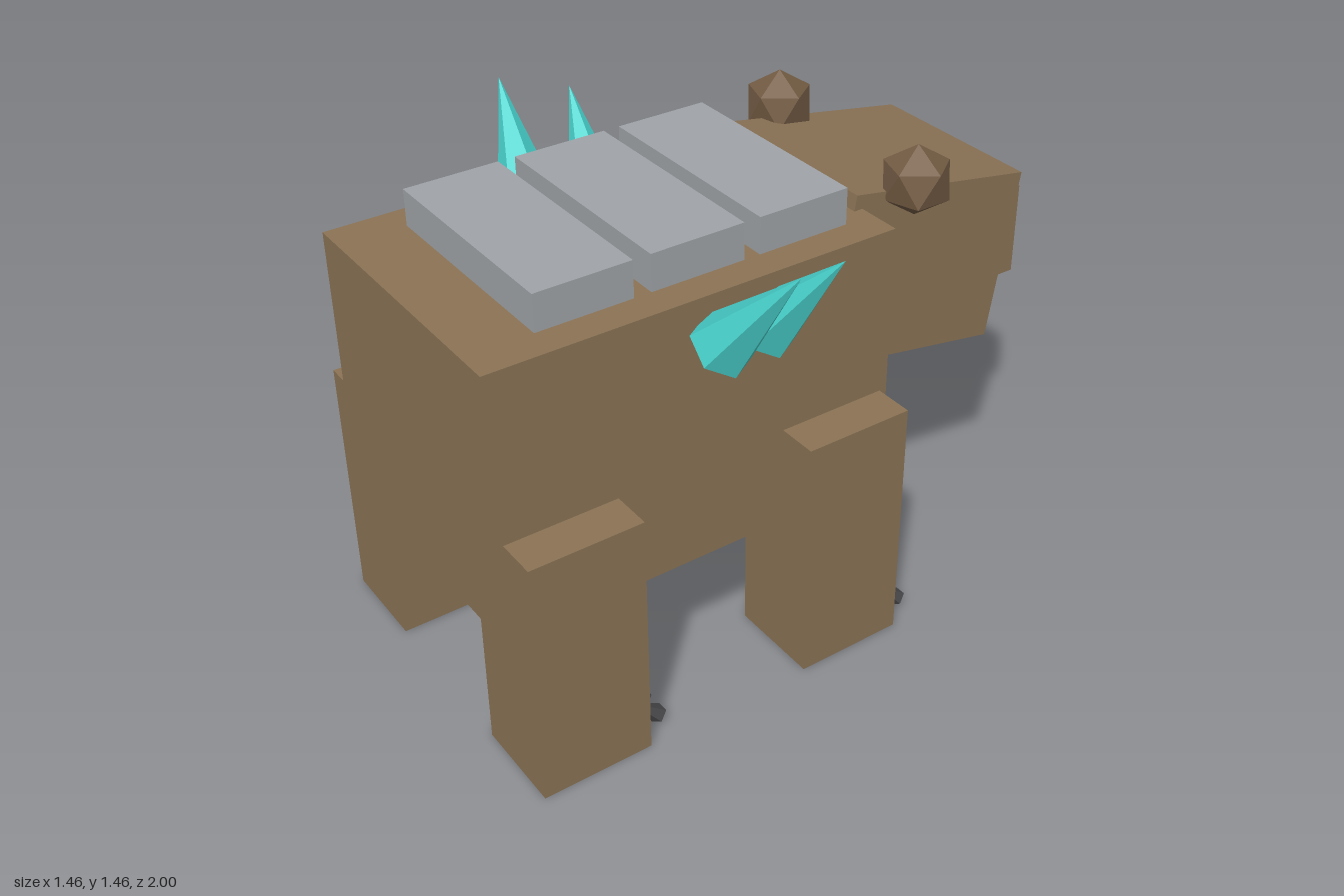
import * as THREE from 'three';

export function createModel() {
  const model = new THREE.Group();
  model.name = 'armouredBear';

  const mat = (name, color) => {
    const m = new THREE.MeshStandardMaterial({ color });
    m.name = name;
    return m;
  };
  const fur = mat('brown fur', 0x8b7355);
  const earFur = mat('dark brown ear', 0x745c44);
  const stone = mat('grey stone', 0xa0a4a8);
  const crystal = mat('turquoise crystal', 0x48d1cc);
  const horn = mat('dark claw', 0x4a4a4c);

  const add = (name, geometry, material, x, y, z) => {
    const mesh = new THREE.Mesh(geometry, material);
    mesh.name = name;
    mesh.position.set(x, y, z);
    model.add(mesh);
    return mesh;
  };
  const box = (name, material, w, h, d, x, y, z) =>
    add(name, new THREE.BoxGeometry(w, h, d), material, x, y, z);

  // Faceted cone whose base centre sits at the given point, apex along dir
  const up = new THREE.Vector3(0, 1, 0);
  const spike = (name, material, radius, height, sides, twist, base, dir) => {
    const geometry = new THREE.ConeGeometry(radius, height, sides)
      .rotateY(twist).translate(0, height / 2, 0).toNonIndexed();
    geometry.computeVertexNormals();
    const mesh = add(name, geometry, material, ...base);
    mesh.quaternion.setFromUnitVectors(up, new THREE.Vector3(...dir).normalize());
  };

  // Body, tilted head and snout
  box('body', fur, 0.872, 0.825, 1.265, 0, 0.8825, 0.3675);
  box('head', fur, 0.59, 0.533, 0.634, 0, 1.025, -0.5125).rotation.x = -0.17;
  box('snout', fur, 0.334, 0.295, 0.3, 0, 0.9525, -0.85);

  // Back plates
  for (const z of [-0.027, 0.3125, 0.654]) {
    box('backPlate', stone, 0.68, 0.13, 0.289, 0, 1.34, z);
  }

  for (const side of [-1, 1]) {
    // Ears, each with one corner pointing straight up
    const ear = add('ear', new THREE.IcosahedronGeometry(0.108, 0), earFur, side * 0.316, 1.343, -0.438);
    ear.rotation.z = -0.5536;

    // Flank crystals
    for (const [x, y, z] of [[0.486, 1.169, 0.345], [0.413, 1.12, 0.15]]) {
      spike('flankCrystal', crystal, 0.092, 0.385, 6, Math.PI / 6,
        [side * x, y, z], [side * 0.244, 0.291, -0.06]);
    }

    // Legs with three claws each
    for (const [legName, z] of [['frontLeg', -0.07], ['backLeg', 0.807]]) {
      box(legName, fur, 0.293, 0.783, 0.342, side * 0.4135, 0.3915, z);
      for (const offset of [-0.075, 0, 0.075]) {
        spike('claw', horn, 0.029, 0.125, 5, 0,
          [side * 0.4135 + offset, 0.026, z - 0.241], [0, 1, 1]);
      }
    }
  }
  return model;
}
